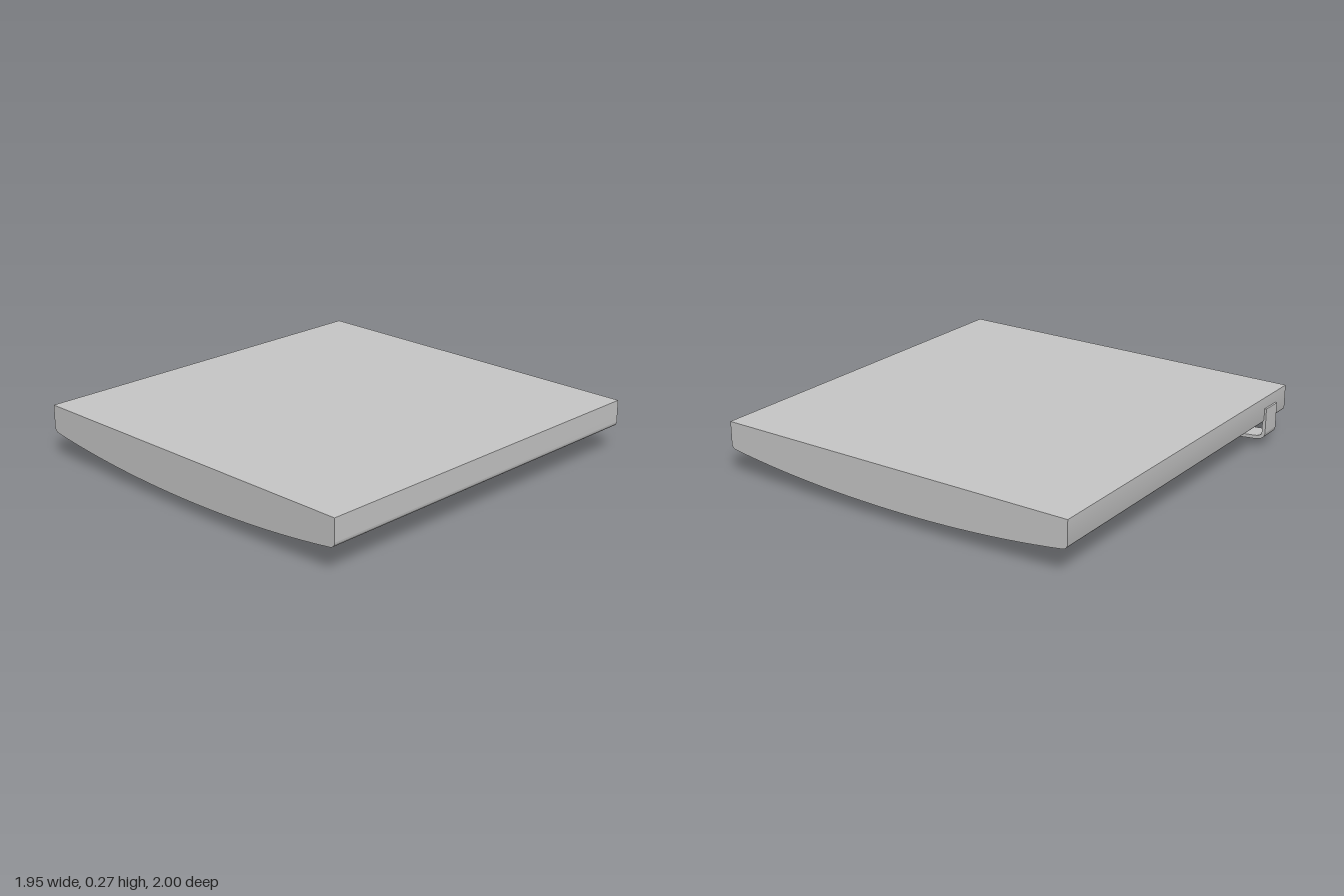
import * as THREE from 'three';
import { toCreasedNormals } from 'three/addons/utils/BufferGeometryUtils.js';

// Extrude a front-facing profile between two depths, smooth along its curves
function extrude(shape, z0, z1) {
  const geo = new THREE.ExtrudeGeometry(shape, { depth: z1 - z0, bevelEnabled: false, curveSegments: 24 });
  geo.translate(0, 0, z0);
  return toCreasedNormals(geo, 0.6);
}

// Closed outline of constant thickness around a centre line
function stripShape(points, thickness) {
  const left = [], right = [];
  points.forEach((p, i) => {
    const a = points[Math.max(i - 1, 0)], b = points[Math.min(i + 1, points.length - 1)];
    const t = b.clone().sub(a).normalize();
    const n = new THREE.Vector2(-t.y, t.x).multiplyScalar(thickness / 2);
    left.push(p.clone().add(n));
    right.unshift(p.clone().sub(n));
  });
  return new THREE.Shape([...left, ...right]);
}

export function createModel() {
  const group = new THREE.Group();
  const grey = new THREE.MeshStandardMaterial({ color: 0xc8c8c8 });
  grey.name = 'light grey';

  // Slab: flat top, bowed underside, rounded lower corners
  const x0 = -0.965, x1 = 0.97, top = 0.272;
  const profile = new THREE.Shape();
  profile.moveTo(x0, top);
  profile.lineTo(x0, 0.16);
  profile.quadraticCurveTo(x0, 0.135, x0 + 0.03, 0.13);
  profile.bezierCurveTo(-0.36, 0.043, 0.36, 0.043, x1 - 0.03, 0.13);
  profile.quadraticCurveTo(x1, 0.135, x1, 0.16);
  profile.lineTo(x1, top);
  const slab = new THREE.Mesh(extrude(profile, -1, 1), grey);
  slab.name = 'slab';
  group.add(slab);

  // Clip: bent strip from the right side down and under the slab
  const path = new THREE.CurvePath();
  const v = (x, y) => new THREE.Vector2(x, y);
  path.add(new THREE.LineCurve(v(-0.966, 0.212), v(-0.966, 0.085)));
  path.add(new THREE.QuadraticBezierCurve(v(-0.966, 0.085), v(-0.966, 0.056), v(-0.92, 0.051)));
  path.add(new THREE.SplineCurve([v(-0.92, 0.051), v(-0.6, 0.024), v(-0.4, 0.013), v(-0.22, 0.009),
    v(-0.02, 0.015), v(0.17, 0.036), v(0.205, 0.047), v(0.245, 0.075)]));
  const points = path.curves.flatMap((c, i) => c.getPoints([1, 10, 42][i]).slice(i ? 1 : 0));
  const clip = new THREE.Mesh(extrude(stripShape(points, 0.018), 0.775, 0.89), grey);
  clip.name = 'clip';
  group.add(clip);
  return group;
}
